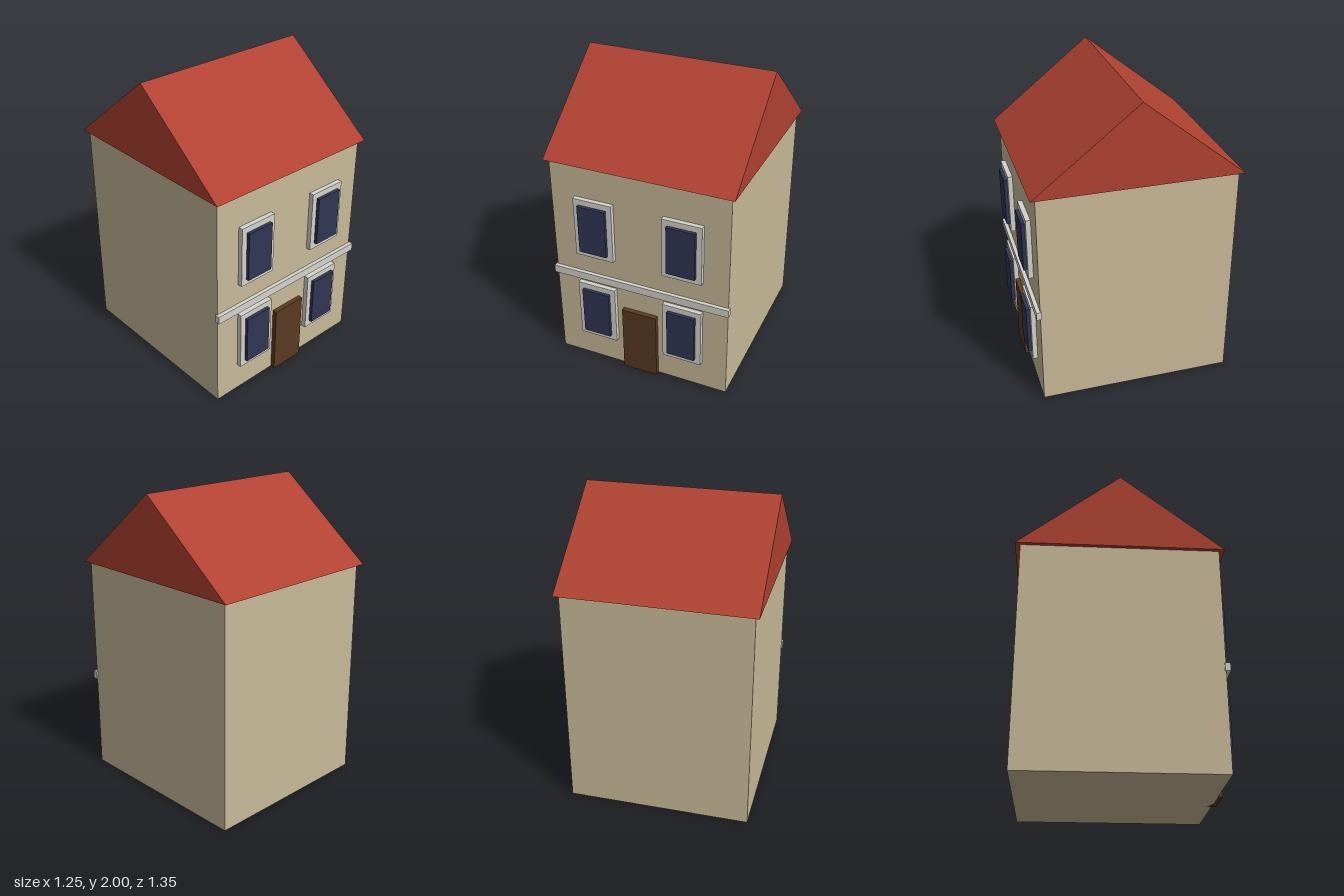
import * as THREE from 'three';

const material = (name, color) => {
  const m = new THREE.MeshStandardMaterial({ color });
  m.name = name;
  return m;
};

export function createModel() {
  const wallMat = material('plaster', 0xc8b998);
  const roofMat = material('red roof', 0xb04232);
  const trimMat = material('pale stone trim', 0xd4d2cc);
  const glassMat = material('dark blue glass', 0x303654);
  const doorMat = material('brown door', 0x5a3b22);

  const house = new THREE.Group();
  house.name = 'house';

  const midZ = -0.01;    // centre of the body and roof
  const wallZ = 0.621;   // front face of the walls
  const eavesY = 1.47;

  // Box centred on x and z, standing on y
  const box = (parent, name, mat, [w, h, d], [x, y, z]) => {
    const mesh = new THREE.Mesh(new THREE.BoxGeometry(w, h, d), mat);
    mesh.name = name;
    mesh.position.set(x, y + h / 2, z);
    parent.add(mesh);
  };

  box(house, 'walls', wallMat, [1.2, eavesY, 1.263], [0, 0, midZ]);

  // Gabled roof: a triangle extruded along x
  const gable = new THREE.Shape([
    new THREE.Vector2(-0.664, 0),
    new THREE.Vector2(0.664, 0),
    new THREE.Vector2(0, 2 - eavesY),
  ]);
  const roofGeo = new THREE.ExtrudeGeometry(gable, { depth: 1.252, bevelEnabled: false });
  roofGeo.translate(0, 0, -0.626).rotateY(Math.PI / 2);
  const roof = new THREE.Mesh(roofGeo, roofMat);
  roof.name = 'roof';
  roof.position.set(0, eavesY, midZ);
  house.add(roof);

  // Band between the storeys
  box(house, 'stringCourse', trimMat, [1.22, 0.053, 0.034], [0, 0.635, 0.63]);

  box(house, 'door', doorMat, [0.24, 0.473, 0.064], [0, 0, wallZ]);

  // Two windows on each storey, glass standing proud of the surround
  for (const y of [0.196, 0.831]) {
    for (const x of [-0.3, 0.3]) {
      const win = new THREE.Group();
      win.name = 'window';
      win.position.set(x, y, wallZ);
      box(win, 'windowSurround', trimMat, [0.264, 0.412, 0.064], [0, 0, 0]);
      box(win, 'windowPane', glassMat, [0.19, 0.333, 0.044], [0, 0.04, 0.032]);
      house.add(win);
    }
  }

  return house;
}
